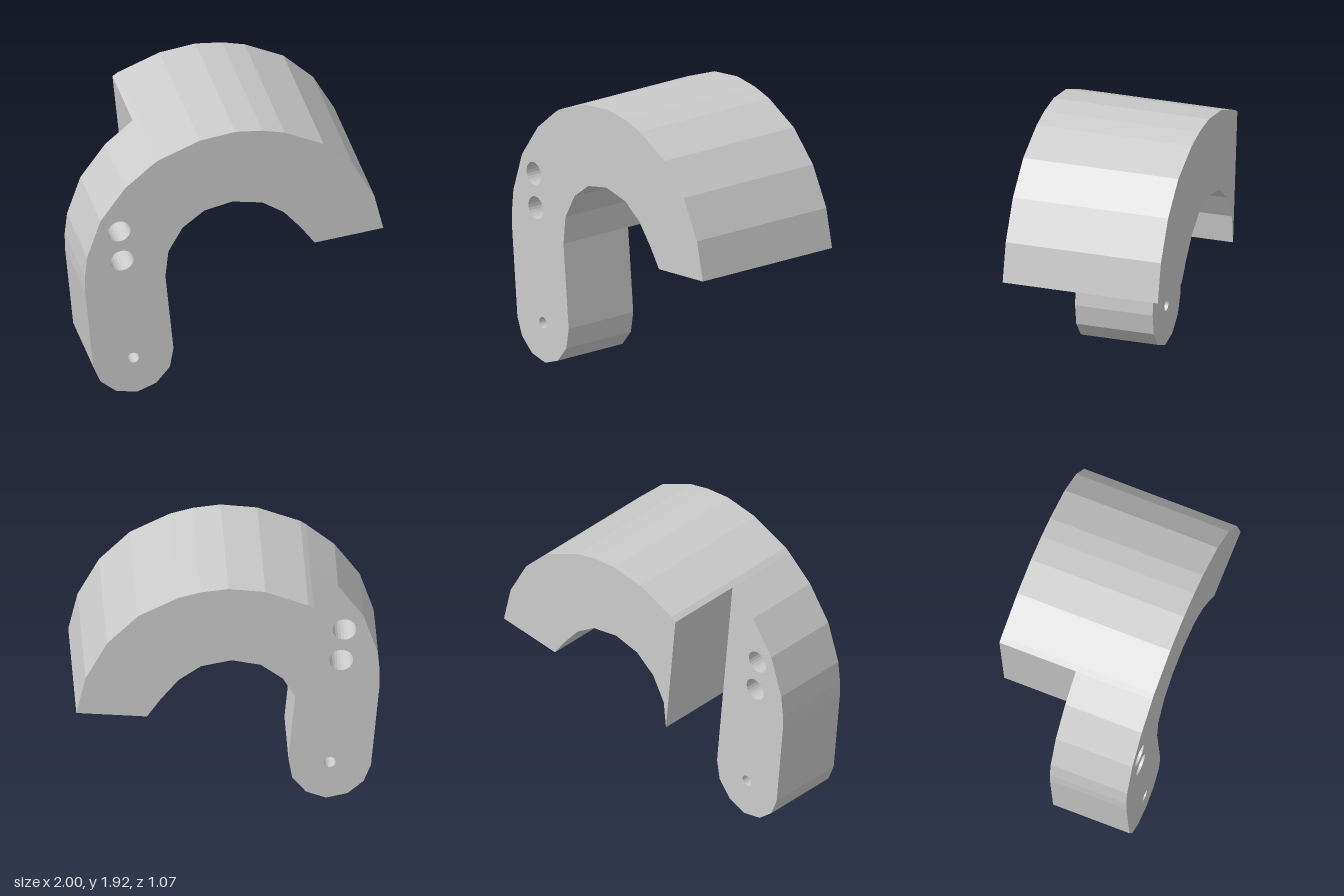
import * as THREE from 'three';

const D = 0.535; // half depth
const material = new THREE.MeshStandardMaterial({ color: 0xcccccc, flatShading: true });
const vecs = (list) => list.map(([x, y]) => new THREE.Vector2(x, y));

// Outline, counter-clockwise from the free tip of the hook
const outerArch = vecs([[1, 1.01], [0.94, 1.27], [0.8, 1.53], [0.6, 1.73], [0.34, 1.86], [0.19, 1.9],
  [0.01, 1.92], [-0.23, 1.89], [-0.51, 1.78]]);
const cutTop = new THREE.Vector2(-0.545, 1.755);
const legEdge = vecs([[-0.73, 1.6], [-0.895, 1.37], [-0.985, 1.1], [-1, 0.95], [-0.999, 0.84], [-0.943, 0.24],
  [-0.895, 0.12], [-0.79, 0.03], [-0.65, 0], [-0.52, 0.05], [-0.43, 0.16], [-0.406, 0.3]]);
const cutBottom = new THREE.Vector2(-0.46, 0.87);
const innerArch = vecs([[-0.44, 1.06], [-0.345, 1.23], [-0.2, 1.34], [-0.01, 1.38], [0.19, 1.34],
  [0.335, 1.24], [0.45, 1.1], [0.54, 0.97]]);

// Pin holes through the leg: x, y, radius
const holes = [[-0.77, 1.27, 0.077], [-0.75, 1.04, 0.077], [-0.675, 0.27, 0.038]].map(([x, y, r]) => {
  const ring = [];
  for (let i = 0; i <= 24; i++) {
    const a = -i / 24 * Math.PI * 2;
    ring.push(new THREE.Vector2(x + r * Math.cos(a), y + r * Math.sin(a)));
  }
  return ring;
});

// Flat face at depth z, turned to the back when asked
function cap(points, holeRings, z, back) {
  const shape = new THREE.Shape(points);
  shape.holes = holeRings.map((ring) => new THREE.Path(ring.slice(0, -1)));
  const geometry = new THREE.ShapeGeometry(shape);
  if (back) {
    geometry.index.array.reverse();
    geometry.computeVertexNormals();
  }
  return geometry.translate(0, 0, z);
}

// Strip of side faces along a path, from depth z0 to z1
function wall(path, z0, z1) {
  const position = [];
  for (let i = 0; i < path.length - 1; i++) {
    const a = path[i], b = path[i + 1];
    position.push(a.x, a.y, z1, a.x, a.y, z0, b.x, b.y, z0);
    position.push(a.x, a.y, z1, b.x, b.y, z0, b.x, b.y, z1);
  }
  const geometry = new THREE.BufferGeometry();
  geometry.setAttribute('position', new THREE.Float32BufferAttribute(position, 3));
  geometry.computeVertexNormals();
  return geometry;
}

export function createModel() {
  const model = new THREE.Group();
  model.name = 'hookBracket';
  const add = (name, geometry) => {
    const mesh = new THREE.Mesh(geometry, material);
    mesh.name = name;
    model.add(mesh);
  };

  const legPath = [cutTop, ...legEdge, cutBottom];

  // Flat faces: whole hook in front, full-depth arch and half-depth leg behind
  add('frontFace', cap([...outerArch, ...legPath, ...innerArch], holes, D, false));
  add('archBackFace', cap([...outerArch, cutTop, cutBottom, ...innerArch], [], -D, true));
  add('legBackFace', cap(legPath, holes, 0, true));

  // Side faces
  add('archOuterWall', wall([...outerArch, cutTop], -D, D));
  add('legWall', wall(legPath, 0, D));
  add('archInnerWall', wall([cutBottom, ...innerArch], -D, D));
  add('tipFace', wall([innerArch[innerArch.length - 1], outerArch[0]], -D, D));
  add('stepFace', wall([cutTop, cutBottom], -D, 0));

  // Bores of the pin holes
  holes.forEach((ring, i) => add('pinHole' + (i + 1), wall(ring, 0, D)));

  return model;
}
